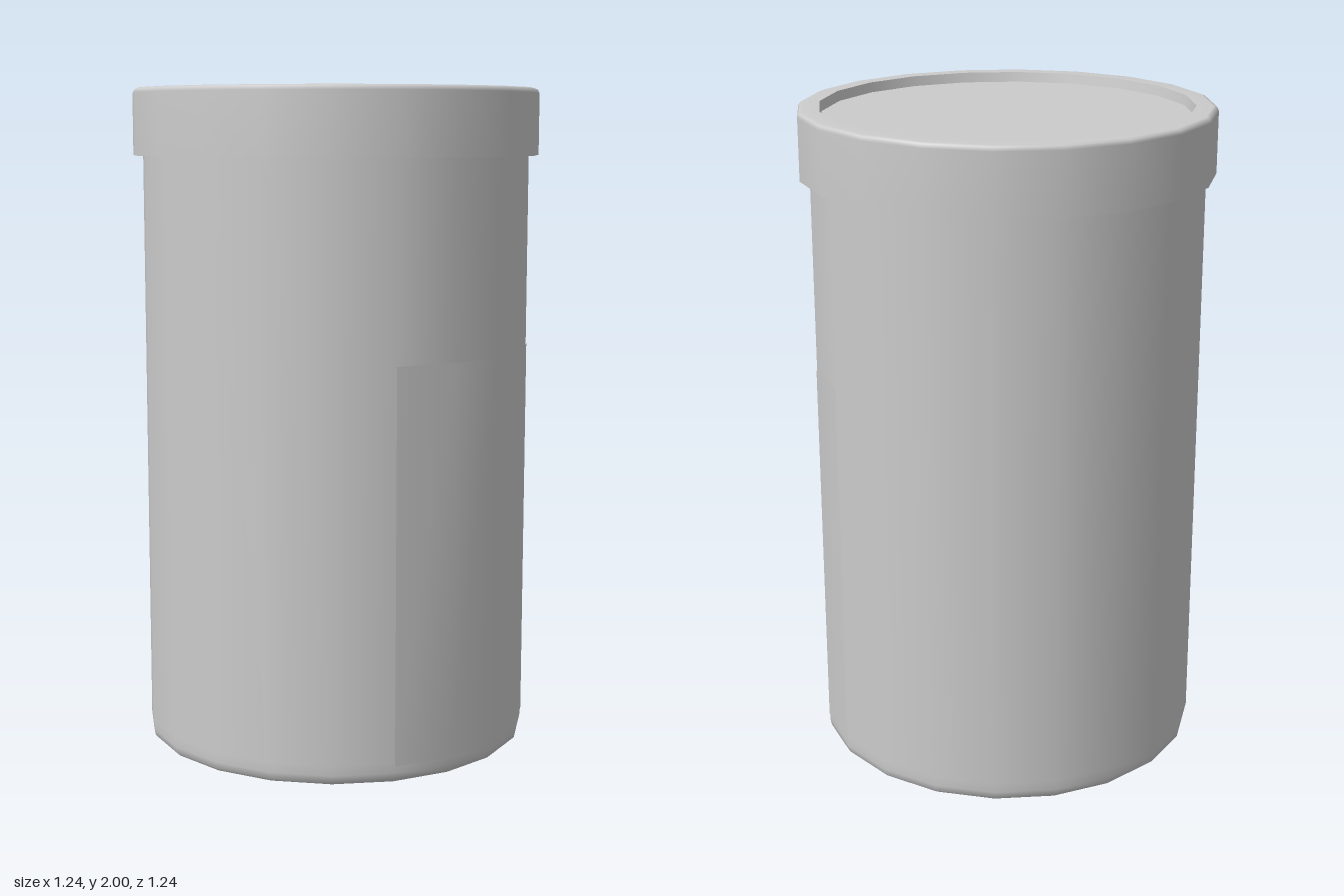
import * as THREE from 'three';

const SIDES = 20;
const LID_RADIUS = 0.62;

const material = new THREE.MeshStandardMaterial({ color: 0xcccccc });

// Each profile is one smooth run; separate profiles meet in a sharp edge.
function turned(name, profiles) {
  const part = new THREE.Group();
  part.name = name;
  profiles.forEach((profile, i) => {
    const points = profile.map(([r, y]) => new THREE.Vector2(r, y));
    const mesh = new THREE.Mesh(new THREE.LatheGeometry(points, SIDES), material);
    mesh.name = `${name}Surface${i + 1}`;
    part.add(mesh);
  });
  return part;
}

export function createModel() {
  const model = new THREE.Group();
  model.name = 'jar';

  // Straight body with a small softened bottom edge
  model.add(turned('body', [
    [[0, 0], [0.575, 0]],
    [[0.575, 0], [0.586, 0.01], [0.59, 0.03], [0.59, 0.06], [0.59, 1.8]],
  ]));

  // Lid: underside, skirt with rounded rim, inner wall and recessed top
  model.add(turned('lid', [
    [[0.57, 1.8], [LID_RADIUS, 1.8]],
    [[LID_RADIUS, 1.8], [LID_RADIUS, 1.985], [0.615, 1.996], [0.605, 2], [0.555, 2]],
    [[0.555, 2], [0.55, 1.97]],
    [[0.55, 1.97], [0, 1.97]],
  ]));

  // Label wrapped over six facets of the left side
  const step = (Math.PI * 2) / SIDES;
  const labelGeometry = new THREE.CylinderGeometry(
    0.592, 0.592, 1.17, 6, 1, true, Math.PI / 2 - 3 * step, 6 * step);
  labelGeometry.computeVertexNormals();
  const label = new THREE.Mesh(labelGeometry, material);
  label.name = 'label';
  label.position.y = 0.635;
  model.add(label);

  return model;
}
